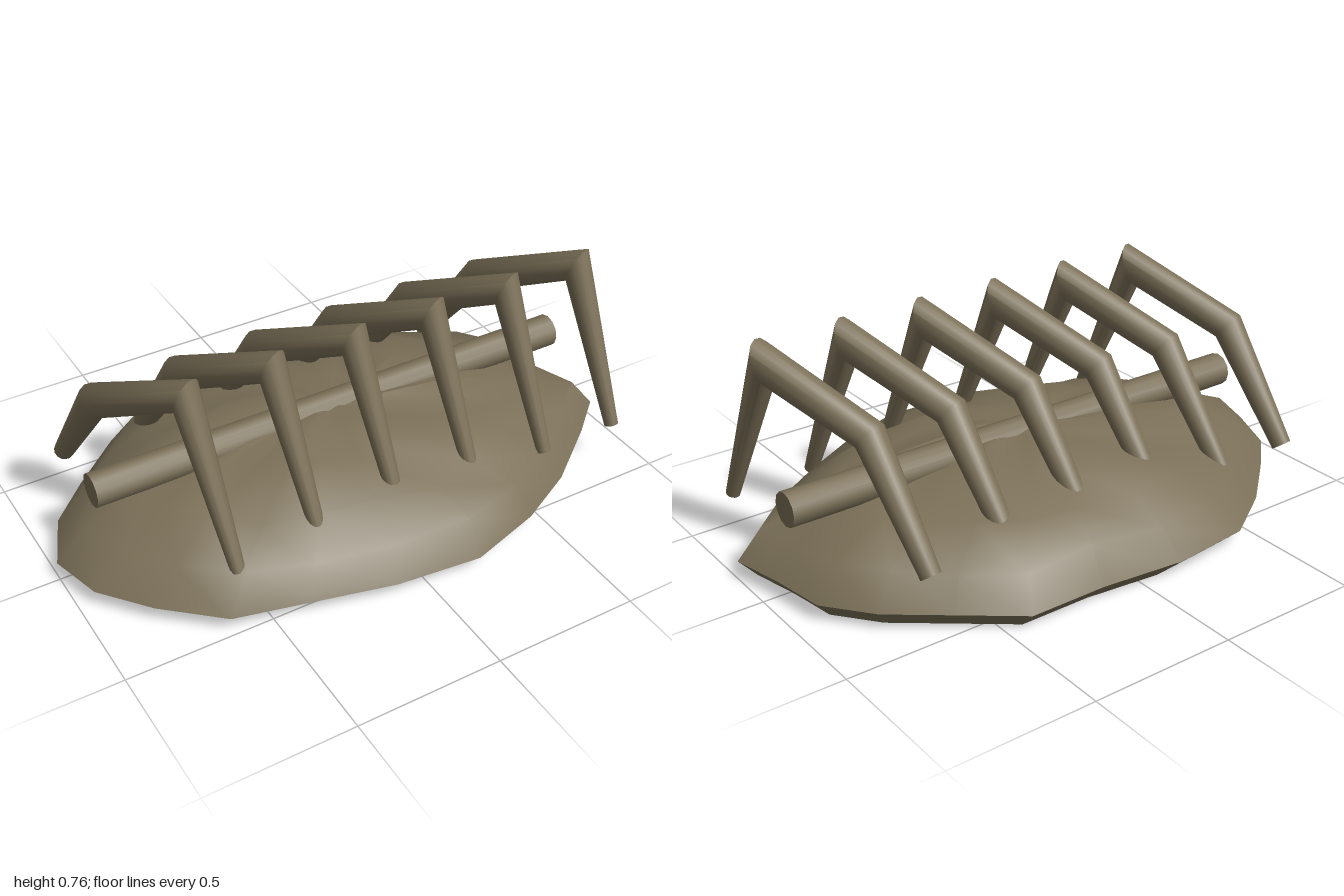
import * as THREE from 'three';
import { toCreasedNormals } from 'three/addons/utils/BufferGeometryUtils.js';

// Closed skin through rings of points (counter-clockwise about the loft direction)
function loft(rings, crease) {
  const n = rings[0].length, pos = [], idx = [];
  rings.forEach(r => r.forEach(p => pos.push(p.x, p.y, p.z)));
  for (let i = 0; i < rings.length - 1; i++) {
    for (let j = 0; j < n; j++) {
      const a = i * n + j, b = i * n + (j + 1) % n;
      idx.push(a, b, a + n, b, b + n, a + n);
    }
  }
  [0, rings.length - 1].forEach((row, top) => {
    const c = new THREE.Vector3();
    rings[row].forEach(p => c.addScaledVector(p, 1 / n));
    const ci = pos.length / 3;
    pos.push(c.x, c.y, c.z);
    for (let j = 0; j < n; j++) {
      const a = row * n + j, b = row * n + (j + 1) % n;
      if (top) idx.push(ci, a, b); else idx.push(ci, b, a);
    }
  });
  const g = new THREE.BufferGeometry();
  g.setAttribute('position', new THREE.Float32BufferAttribute(pos, 3));
  g.setIndex(idx);
  return toCreasedNormals(g, crease);
}

// Tapered, mitred tube along a bent path
function bentTube(points, radii, sides) {
  const rings = points.map((p, i) => {
    const d1 = points[i].clone().sub(points[Math.max(i - 1, 0)]).normalize();
    const d2 = points[Math.min(i + 1, points.length - 1)].clone().sub(p).normalize();
    const t = d1.clone().add(d2).normalize();
    const inner = i > 0 && i < points.length - 1;
    const stretch = inner ? 1 / t.dot(d1) : 1;
    const v = new THREE.Vector3(1, 0, 0).addScaledVector(t, -t.x).normalize();
    const w = t.clone().cross(v);
    return Array.from({ length: sides }, (_, k) => {
      const a = k / sides * Math.PI * 2;
      return p.clone().addScaledVector(v, Math.cos(a) * radii[i])
        .addScaledVector(w, Math.sin(a) * radii[i] * stretch);
    });
  });
  return loft(rings, 0.9);
}

export function createModel() {
  const group = new THREE.Group();
  const earth = new THREE.MeshStandardMaterial({ color: 0x7b7058 });
  earth.name = 'earthyBrown';
  const add = (name, geometry) => {
    const mesh = new THREE.Mesh(geometry, earth);
    mesh.name = name;
    group.add(mesh);
    return mesh;
  };

  // Mound: irregular rim outline (x, z), scaled in layers up to a low dome
  const outline = [
    [-1, -0.01], [-0.92, -0.2], [-0.78, -0.34], [-0.6, -0.5], [-0.4, -0.63], [-0.12, -0.66],
    [0.17, -0.63], [0.44, -0.63], [0.62, -0.49], [0.8, -0.35], [0.92, -0.2], [0.95, -0.02],
    [0.995, 0.17], [0.86, 0.29], [0.64, 0.46], [0.43, 0.57], [0.17, 0.65], [-0.12, 0.62],
    [-0.4, 0.55], [-0.64, 0.49], [-0.82, 0.33], [-0.95, 0.17],
  ].reverse();
  // Layers: scale, height, x shift, bumpiness
  const layers = [
    [0.91, 0, 0.035, 0], [1, 0.06, 0, 0], [0.9, 0.165, 0.015, 0.012],
    [0.7, 0.242, 0.005, 0.012], [0.45, 0.302, 0, 0.014], [0.2, 0.328, 0, 0.01],
  ];
  const rings = layers.map(([s, y, dx, bump], i) => outline.map(([x, z], j) =>
    new THREE.Vector3(x * s + dx, y + bump * Math.sin(j * 1.9 + i * 2.3), z * s)));
  add('mound', loft(rings, 0.8));

  // Spine bar lying along the crest
  const spine = new THREE.CylinderGeometry(0.058, 0.058, 1.77, 12);
  spine.rotateZ(Math.PI / 2);
  add('spine', spine).position.set(0.025, 0.298, -0.013);

  // Six identical bent ribs arching over the spine
  const path = [
    [0, 0.163, 0.412], [-0.035, 0.695, 0.185], [-0.2, 0.53, -0.145], [-0.23, 0.165, -0.41],
  ].map(p => new THREE.Vector3(...p));
  const rib = bentTube(path, [0.024, 0.053, 0.055, 0.034], 14);
  for (let i = 0; i < 6; i++) add('rib' + (i + 1), rib).position.x = -0.57 + i * 0.29;

  return group;
}
